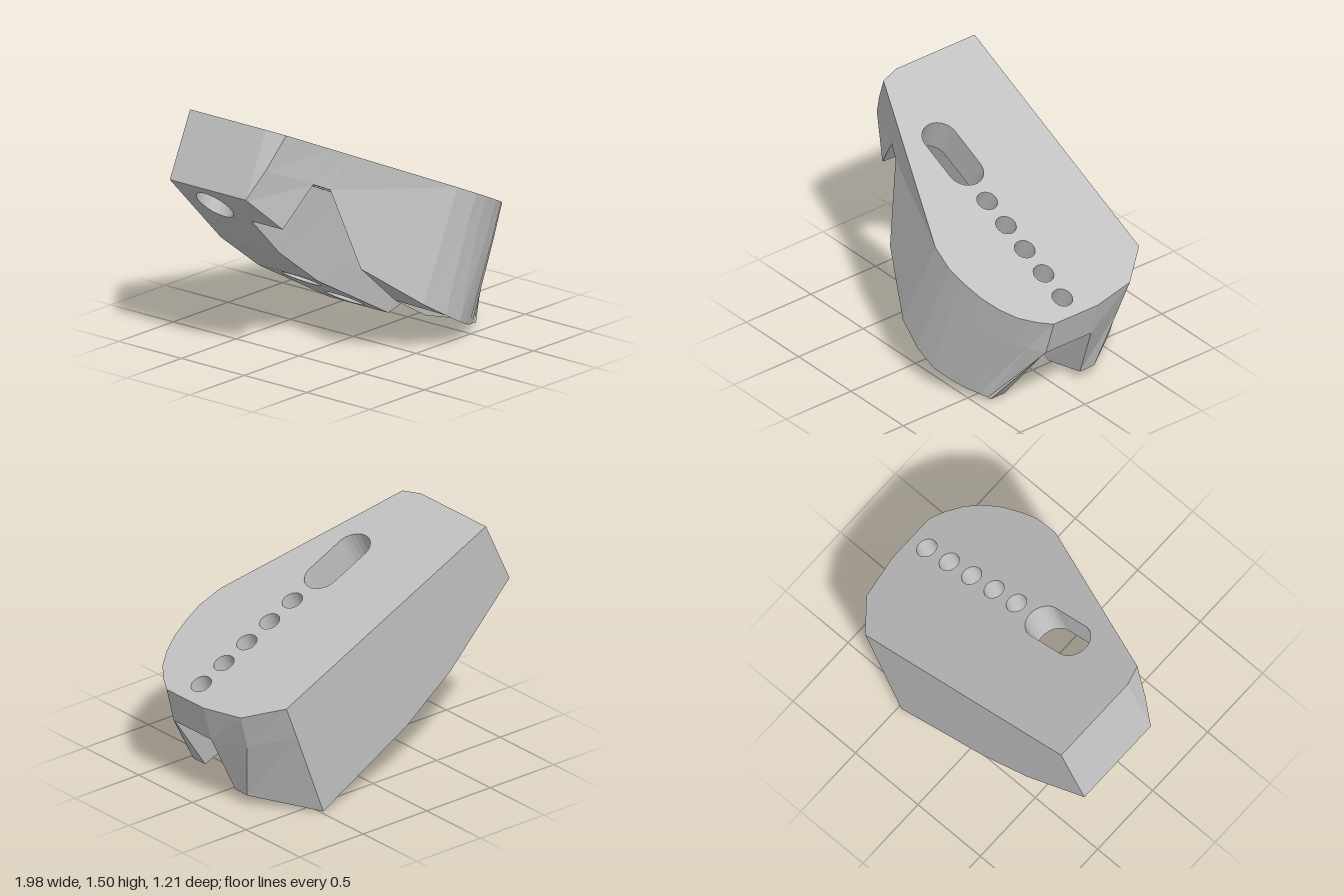
import * as THREE from 'three';

const CEILING = 0.235; // depth of the plate, where the walls begin

// Each ring entry: [upper a, upper z, lower a, lower z, lower depth]
// a runs along the tilted plate, depth is measured down from its top face.
function loft(ring, topDepth, holes = [], capTop = false) {
  const flat = (r, k) => r.map(p => new THREE.Vector2(p[k], p[k + 1]));
  if (THREE.ShapeUtils.area(flat(ring, 2)) < 0) ring = [...ring].reverse();
  const loops = [ring, ...holes];
  const all = loops.flat();
  const top = p => [p[0], -topDepth, p[1]];
  const low = p => [p[2], -p[4], p[3]];
  const pos = [];
  const tri = (a, b, c) => pos.push(...a, ...b, ...c);
  for (const loop of loops) {
    loop.forEach((p, i) => {
      const q = loop[(i + 1) % loop.length];
      tri(top(p), top(q), low(q));
      tri(top(p), low(q), low(p));
    });
  }
  const faces = k => THREE.ShapeUtils.triangulateShape(flat(ring, k), holes.map(h => flat(h, k)));
  for (const [a, b, c] of faces(2)) tri(low(all[a]), low(all[b]), low(all[c]));
  if (capTop) for (const [a, b, c] of faces(0)) tri(top(all[a]), top(all[c]), top(all[b]));
  const g = new THREE.BufferGeometry();
  g.setAttribute('position', new THREE.Float32BufferAttribute(pos, 3));
  g.computeVertexNormals();
  return g;
}

// Clockwise round or stadium-shaped hole
function hole(a, z, r, half, depthAt) {
  const pts = [], n = 24;
  for (let i = 0; i < n; i++) {
    const t = -((i + 0.5) / n) * Math.PI * 2;
    const x = a + r * Math.cos(t) + half * Math.sign(Math.cos(t));
    const y = z + r * Math.sin(t);
    pts.push([x, y, x, y, depthAt(x)]);
  }
  return pts;
}

export function createModel() {
  const grey = new THREE.MeshStandardMaterial({ color: 0xc0c0c0 });
  grey.name = 'plain grey';
  const model = new THREE.Group();
  model.name = 'tiltedBracket';
  const body = new THREE.Group();
  body.name = 'body';
  body.position.set(-0.8, 1.51, 0);
  body.rotation.z = -THREE.MathUtils.degToRad(25);
  model.add(body);
  const add = (name, geometry) => {
    const m = new THREE.Mesh(geometry, grey);
    m.name = name;
    body.add(m);
  };

  // Top plate with a slot and a row of five holes
  const plate = [
    [0, -0.605, 0, -0.605], [1.733, -0.605, 1.75, -0.605], [1.93, -0.39, 1.955, -0.36],
    [1.985, -0.1, 2.025, -0.1], [1.985, 0.24, 2.025, 0.25], [1.93, 0.33, 1.945, 0.34],
    [1.854, 0.42, 1.86, 0.43], [1.755, 0.49, 1.76, 0.5], [1.63, 0.545, 1.63, 0.555],
    [1.49, 0.58, 1.49, 0.588], [1.37, 0.597, 1.37, 0.6], [1.2, 0.58, 1.2, 0.58],
    [0.46, 0.293, 0.441, 0.25], [0.35, 0.25, 0.331, 0.2], [0.04, 0.13, 0.02, 0.07], [0, 0, 0, 0],
  ].map(p => [...p, CEILING]);
  const through = () => CEILING;
  const plateHoles = [hole(0.673, 0.058, 0.117, 0.128, through)];
  for (let i = 0; i < 5; i++) plateHoles.push(hole(1.052 + i * 0.198, 0.07, 0.065, 0, through));
  add('topPlate', loft(plate, 0, plateHoles, true));

  // End block closing the channel, with a round recess underneath
  const endDepth = a => 0.44 + 0.379 * a;
  add('endBlock', loft([
    [0, -0.605, 0, -0.605, 0.44], [0.625, -0.605, 0.625, -0.605, 0.677],
    [0.625, -0.1, 0.625, -0.135, 0.677], [0.331, -0.1, 0.28, -0.135, 0.546],
    [0.331, 0.2, 0.27, 0.12, 0.545], [0.02, 0.07, 0.01, 0.005, 0.444], [0, 0, 0, 0, 0.44],
  ], CEILING, [hole(0.19, -0.37, 0.125, 0, endDepth)]));

  // Back wall in two runs, the second with two round recesses underneath
  add('backWallMiddle', loft([
    [0.625, -0.605, 0.625, -0.605, 0.677], [1.05, -0.605, 1.05, -0.605, 0.768],
    [1.05, -0.1, 1.05, -0.135, 0.768], [0.625, -0.1, 0.625, -0.135, 0.677],
  ], CEILING));
  const wallDepth = a => 0.768 + (a - 1.05) * 0.0724;
  add('backWall', loft([
    [1.05, -0.605, 1.05, -0.605, 0.768], [1.75, -0.605, 1.796, -0.605, 0.822],
    [1.75, -0.1, 1.796, -0.14, 0.822], [1.05, -0.1, 1.05, -0.135, 0.768],
  ], CEILING, [1.19, 1.64].map(a => hole(a, -0.37, 0.125, 0, wallDepth))));

  // Bevelled end of the back wall
  add('backWallEnd', loft([
    [1.75, -0.605, 1.796, -0.605, 0.822], [1.955, -0.36, 2.038, -0.25, 0.632],
    [2.025, -0.1, 2.038, -0.14, 0.632], [1.75, -0.1, 1.796, -0.14, 0.822],
  ], CEILING));

  // Curved front wall, tapering to a point at its left end
  add('frontWall', loft([
    [0.441, 0.25, 0.761, 0.39, 0.638], [1.2, 0.58, 1.2, 0.58, 0.735],
    [1.37, 0.6, 1.4, 0.608, 0.757], [1.49, 0.588, 1.56, 0.597, 0.768],
    [1.63, 0.555, 1.67, 0.555, 0.768], [1.76, 0.5, 1.77, 0.505, 0.764],
    [1.86, 0.43, 1.85, 0.46, 0.75], [1.945, 0.34, 1.9, 0.435, 0.74],
    [2.025, 0.25, 1.92, 0.43, 0.737], [2.02, 0.25, 1.92, 0.32, 0.737],
    [1.55, 0.25, 1.55, 0.34, 0.785], [1.2, 0.25, 1.2, 0.36, 0.755],
  ], CEILING));

  return model;
}
